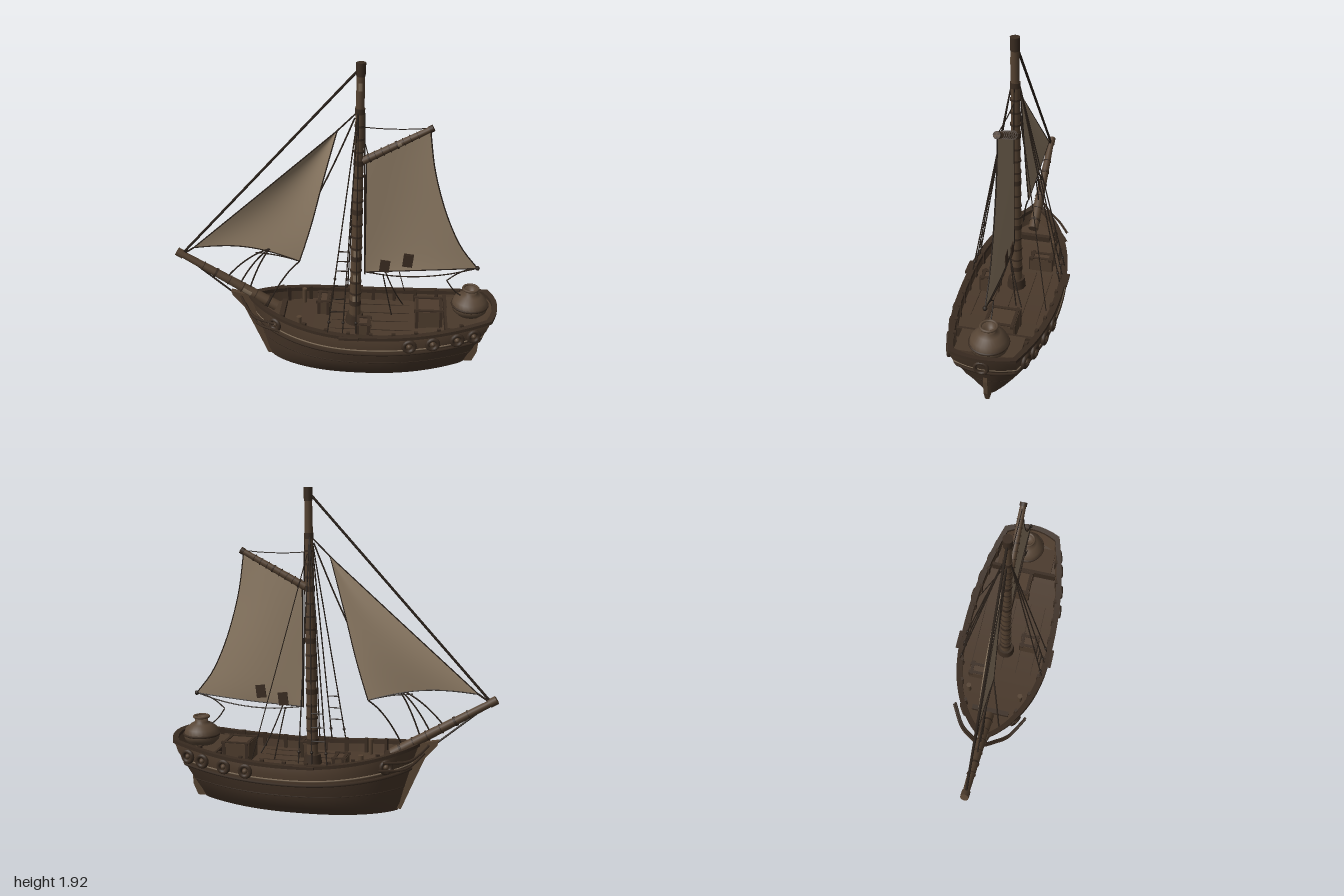
import * as THREE from 'three';
import { toCreasedNormals } from 'three/addons/utils/BufferGeometryUtils.js';

const mat = (name, color, side = THREE.FrontSide) => {
  const m = new THREE.MeshStandardMaterial({ color, side });
  m.name = name;
  return m;
};
const V = (p) => new THREE.Vector3(...p);
const lerp = (a, b, t) => a.map((v, i) => v + (b[i] - v) * t);

// Relative half-breadth of the hull from bow (0) to stern (1)
const breadth = (u, taper = 0.38) => (u < 0.5
  ? Math.max(0.03, (1 - (1 - 2 * u) ** 2.4) ** 0.75)
  : 1 - taper * (2 * u - 1) ** 2.2);

// Rise of the deck line toward bow and stern
const sheer = (x) => (x < 0.2 ? 0.1 * ((0.2 - x) / 0.75) ** 2 : 0.085 * ((x - 0.2) / 0.78) ** 2);

// One closed horizontal hull section, with a gently curved transom
function ring([bow, stern, width, y, rise, taper = 0.38]) {
  const at = (x, z) => V([x, y + rise * sheer(x), z]);
  const port = [], starboard = [], transom = [];
  for (let i = 0; i <= 40; i++) {
    const u = (i / 40) ** 1.4, x = bow + (stern - bow) * u, z = width * breadth(u, taper);
    port.push(at(x, z));
    starboard.unshift(at(x, -z));
  }
  for (let i = 1; i < 8; i++) {
    const t = 1 - i / 4;
    transom.push(at(stern + 0.045 * (1 - t * t), width * (1 - taper) * t));
  }
  return [...port, ...transom, ...starboard];
}

// Skin between successive sections
function loft(sections) {
  const rings = sections.map(ring), n = rings[0].length, index = [];
  for (let r = 0; r < rings.length - 1; r++) {
    for (let i = 0; i < n; i++) {
      const a = r * n + i, b = r * n + (i + 1) % n;
      index.push(a, b, b + n, a, b + n, a + n);
    }
  }
  const g = new THREE.BufferGeometry().setFromPoints(rings.flat());
  g.setIndex(index);
  return toCreasedNormals(g, 0.7);
}

// Breadth and heading of the ship's side at x
const sideZ = (x) => 0.303 * breadth((x + 0.53) / 1.45);
const heading = (x) => -Math.atan((sideZ(x + 0.03) - sideZ(x - 0.03)) / 0.06);

export function createModel() {
  const ship = new THREE.Group();
  ship.name = 'sailingShip';
  const hullWood = mat('hullWood', 0x48372a);
  const plankWood = mat('plankWood', 0x4e3c2d);
  const deckWood = mat('deckWood', 0x4a392b);
  const trimWood = mat('trimWood', 0x3a2c21);
  const sparWood = mat('sparWood', 0x554231);
  const ropeFibre = mat('ropeFibre', 0x2b221b);
  const canvas = mat('canvas', 0x917e67, THREE.DoubleSide);
  const clay = mat('clay', 0x574535);
  const paleWood = mat('paleWood', 0x7d6b57);

  const add = (name, geo, material, pos = [0, 0, 0], rot = [0, 0, 0]) => {
    const m = new THREE.Mesh(geo, material);
    m.name = name;
    m.position.set(...pos);
    m.rotation.set(...rot);
    ship.add(m);
    return m;
  };
  const box = (name, size, pos, material, rot) => add(name, new THREE.BoxGeometry(...size), material, pos, rot);
  const tube = (name, points, r, material, closed = false) => add(name,
    new THREE.TubeGeometry(new THREE.CatmullRomCurve3(points, closed), points.length * 3, r, 5, closed), material);
  // Rope between two points, sagging at the middle
  const rope = (name, a, b, r = 0.004, sag = 0) => tube(name, [0, 0.25, 0.5, 0.75, 1].map((t) => {
    const p = V(lerp(a, b, t));
    p.y -= sag * 4 * t * (1 - t);
    return p;
  }), r, ropeFibre);
  const spar = (name, a, b, r0, r1, material = sparWood) => {
    const p = V(a), d = V(b).sub(p);
    const m = add(name, new THREE.CylinderGeometry(r1, r0, d.length(), 12), material, lerp(a, b, 0.5));
    m.quaternion.setFromUnitVectors(new THREE.Vector3(0, 1, 0), d.normalize());
  };
  // Evenly spaced bands along a spar
  const bands = (name, a, b, count, r0, r1) => {
    for (let i = 0; i < count; i++) {
      const t = 0.08 + 0.8 * i / count, r = r0 + (r1 - r0) * t;
      spar(name, lerp(a, b, t), lerp(a, b, t + (i % 4 ? 0.008 : 0.02)), r, r, trimWood);
    }
  };

  // Hull, bulwark, rail and deck
  const waleLine = [-0.5, 0.87, 0.295, 0.21, 0.7, 0.42], railLine = [-0.545, 0.93, 0.296, 0.31, 1];
  add('hull', loft([[-0.42, 0.76, 0, 0, 0, 0.75], [-0.42, 0.76, 0.19, 0, 0, 0.75], [-0.44, 0.78, 0.238, 0.05, 0, 0.65],
    [-0.46, 0.815, 0.272, 0.12, 0.2, 0.53], waleLine]), hullWood);
  add('bulwark', loft([waleLine, [-0.525, 0.91, 0.303, 0.27, 0.9], railLine]), plankWood);
  add('rail', loft([railLine, [-0.555, 0.94, 0.308, 0.31, 1], [-0.555, 0.94, 0.308, 0.33, 1],
    [-0.52, 0.91, 0.27, 0.33, 1], [-0.52, 0.91, 0.27, 0.305, 1]]), trimWood);
  add('bulwarkLining', loft([[-0.52, 0.91, 0.275, 0.31, 1], [-0.5, 0.87, 0.272, 0.25, 0.8]]), plankWood);
  add('deck', loft([[-0.5, 0.875, 0.274, 0.255, 0.8], [-0.5, 0.875, 0, 0.255, 0.8]]), deckWood);
  tube('wale', ring(waleLine), 0.011, trimWood, true);
  tube('paleStrake', ring([-0.51, 0.886, 0.299, 0.236, 0.8, 0.4]), 0.005, paleWood, true);
  tube('lowerStrake', ring([-0.465, 0.822, 0.274, 0.135, 0.3, 0.51]), 0.004, trimWood, true);

  // Stem and rudder
  const plate = (name, pts, depth) => add(name, new THREE.ExtrudeGeometry(
    new THREE.Shape(pts.map((p) => new THREE.Vector2(...p))), { depth, bevelEnabled: false }), sparWood, [0, 0, -depth / 2]);
  plate('stem', [[-0.44, 0.01], [-0.38, 0.01], [-0.5, 0.42], [-0.66, 0.45], [-0.65, 0.42], [-0.58, 0.34], [-0.52, 0.2]], 0.035);
  plate('rudder', [[0.76, 0], [0.855, 0], [0.885, 0.07], [0.89, 0.16], [0.88, 0.23], [0.8, 0.2]], 0.024);
  add('sternRing', new THREE.TorusGeometry(0.036, 0.01, 8, 18), trimWood, [0.962, 0.335, 0], [0, Math.PI / 2, 0]);

  for (const s of [-1, 1]) {
    // Round fenders
    for (const x of [-0.37, 0.45, 0.59, 0.735, 0.835]) {
      const pos = [x, 0.268 + 0.85 * sheer(x), s * (sideZ(x) + 0.006)];
      add('fender', new THREE.TorusGeometry(0.033, 0.013, 8, 18), trimWood, pos, [0, s * heading(x), 0]);
      add('fenderBoss', new THREE.SphereGeometry(0.015, 10, 8), sparWood, pos);
    }
    // Bulwark posts
    for (let x = -0.32; x < 0.8; x += 0.135) {
      box('railPost', [0.022, 0.1, 0.018], [x, 0.292 + sheer(x), s * (sideZ(x) - 0.03)], trimWood, [0, s * heading(x), 0]);
    }
    // Curved bow rails
    for (const drop of [0, 0.05]) {
      tube('headRail', [[-0.6, 0.42, 0.02], [-0.555, 0.38, 0.08], [-0.5, 0.355, 0.15], [-0.36, 0.36, 0.235]]
        .map(([x, y, z]) => V([x + drop / 2, y - drop, s * z])), 0.008, trimWood);
    }
    // Shrouds, rungs and channel
    const top = [0.12, 1.65, s * 0.02], feet = [-0.04, 0.05, 0.13].map((x) => [x, 0.34, s * 0.275]);
    for (const f of feet) {
      rope('shroud', top, f, 0.004);
      add('deadeye', new THREE.SphereGeometry(0.01, 8, 6), ropeFibre, lerp(top, f, 0.95));
    }
    for (const t of [0.78, 0.84, 0.9]) rope('rung', lerp(top, feet[0], t), lerp(top, feet[1], t));
    box('channel', [0.12, 0.015, 0.025], [0.09, 0.325, s * 0.31], trimWood);
    add('bollard', new THREE.CylinderGeometry(0.016, 0.013, 0.1, 10), sparWood, [-0.22, 0.33, s * 0.17]);
  }
  rope('backstay', [0.13, 1.55, -0.02], [0.42, 0.34, -0.25], 0.003);

  // Mast with pale scarfed lengths
  const foot = [0.11, 0.25, 0], head = [0.132, 1.9, 0];
  spar('mast', foot, head, 0.036, 0.023);
  spar('mastCap', lerp(foot, head, 0.965), [0.132, 1.92, 0], 0.026, 0.028, trimWood);
  spar('mastCollar', foot, lerp(foot, head, 0.04), 0.06, 0.05, trimWood);
  bands('mastBand', foot, head, 17, 0.039, 0.027);
  // Thin pale inlays on the front of a spar
  const inlay = (a, b, t, length, r) => {
    const p = V(lerp(a, b, t)), d = V(b).sub(V(a)).normalize();
    add('paleInlay', new THREE.CylinderGeometry(r, r, length, 6, 1, true, -0.45, 0.9), paleWood, p.toArray())
      .quaternion.setFromUnitVectors(new THREE.Vector3(0, 1, 0), d);
  };
  for (const [t, r] of [[0.11, 0.0365], [0.2, 0.0355], [0.3, 0.0345], [0.93, 0.026]]) inlay(foot, head, t, 0.045, r);

  // Bowsprit and gaff
  const tip = [-0.975, 0.705, 0], heel = [-0.38, 0.35, 0], jaw = [0.15, 1.34, 0], peak = [0.545, 1.55, 0];
  spar('bowsprit', heel, tip, 0.034, 0.02);
  spar('bowspritCap', lerp(heel, tip, 0.95), [-0.986, 0.712, 0], 0.026, 0.026);
  bands('bowspritBand', heel, tip, 6, 0.037, 0.025);
  inlay(heel, tip, 0.3, 0.06, 0.032);
  spar('gaff', jaw, peak, 0.024, 0.017);
  spar('gaffCap', lerp(jaw, peak, 0.95), peak, 0.021, 0.021, trimWood);
  bands('gaffLashing', jaw, peak, 8, 0.028, 0.021);
  inlay(jaw, peak, 0.52, 0.03, 0.023);

  // Sails stretched between two edge curves, with a billow and an arched foot
  const sail = (name, luffPts, leechPts, belly, arch) => {
    const luff = new THREE.CatmullRomCurve3(luffPts.map(V)), leech = new THREE.CatmullRomCurve3(leechPts.map(V));
    const g = new THREE.PlaneGeometry(1, 1, 16, 20), p = g.attributes.position;
    const point = (u, v) => {
      const q = luff.getPoint(v).lerp(leech.getPoint(v), u), w = Math.sin(Math.PI * u);
      q.y += arch * w * (1 - v) ** 2;
      q.z += belly * w * Math.sin(Math.PI * (0.12 + 0.8 * v));
      return q;
    };
    for (let i = 0; i < p.count; i++) p.setXYZ(i, ...point(p.getX(i) + 0.5, p.getY(i) + 0.5));
    g.computeVertexNormals();
    add(name, g, canvas);
    const steps = [0, 0.2, 0.4, 0.6, 0.8, 1];
    for (const edge of [(t) => point(0, t), (t) => point(1, t), (t) => point(t, 0)]) {
      tube(name + 'EdgeRope', steps.map(edge), 0.004, ropeFibre);
    }
  };
  const tack = [-0.88, 0.74, 0], clew = [-0.23, 0.67, 0], jibHead = [0, 1.52, 0];
  const mainTack = [0.17, 0.61, 0], mainClew = [0.85, 0.66, 0];
  sail('mainSail', [mainTack, [0.17, 1.35, 0]],
    [mainClew, [0.725, 0.83, 0], [0.635, 1.05, 0], [0.57, 1.27, 0], [0.53, 1.53, 0]], -0.02, -0.005);
  sail('jib', [tack, [-0.45, 1.12, 0], jibHead], [clew, [-0.16, 0.9, 0], [-0.085, 1.2, 0], jibHead], -0.035, 0.045);
  for (const [x, y] of [[0.29, 0.655], [0.43, 0.695]]) {
    for (const z of [0.003, -0.016]) box('sailPatch', [0.06, 0.08, 0.006], [x, y, z], trimWood, [0, 0, -0.12]);
  }

  // Stays
  rope('forestay', [-0.95, 0.7, 0], [0.11, 1.87, 0], 0.008);
  rope('jibHalyard', jibHead, [0.11, 1.63, 0], 0.005);
  rope('jibTackRope', tack, [-0.94, 0.7, 0], 0.006);
  rope('bobstay', [-0.94, 0.68, 0], [-0.62, 0.41, 0], 0.006);
  rope('innerStay', [0.1, 1.6, 0], [-0.1, 1.14, 0], 0.005, 0.01);
  rope('throatHalyard', [0.155, 1.63, 0], [0.17, 0.6, 0.01]);
  rope('peakHalyard', [0.15, 1.545, 0], peak, 0.003, 0.01);

  // Sheets below the sails
  rope('jibSheet', clew, [-0.44, 0.36, 0.08], 0.005, -0.04);
  rope('jibSheet', clew, [-0.5, 0.72, 0], 0.004, -0.01);
  for (const x of [-0.55, -0.61, -0.69]) rope('jibFootRope', [-0.41, 0.75, 0], lerp(heel, tip, (-0.38 - x) / 0.595), 0.005, -0.03);
  rope('mainFootRope', mainTack, mainClew, 0.004, 0.045);
  rope('mainSheet', [0.29, 0.63, 0], [0.41, 0.33, -0.1], 0.004, 0.02);
  rope('mainSheet', [0.28, 0.6, 0], [0.34, 0.28, -0.05]);
  rope('sternLine', mainClew, [0.67, 0.57, 0], 0.004, -0.02);
  rope('sternLine', [0.67, 0.57, 0], [0.78, 0.46, 0], 0.004, 0.02);
  add('sheetKnot', new THREE.SphereGeometry(0.014, 8, 6), ropeFibre, mainClew);

  // Raised stern deck with a large jar
  box('sternDeck', [0.18, 0.06, 0.37], [0.77, 0.315, 0], deckWood);
  box('sternStep', [0.02, 0.08, 0.44], [0.675, 0.305, 0], trimWood);
  const jar = [[0, 0.33], [0.07, 0.335], [0.105, 0.37], [0.113, 0.4], [0.1, 0.44], [0.065, 0.468],
    [0.04, 0.48], [0.04, 0.515], [0.03, 0.48], [0, 0.475]].map((p) => new THREE.Vector2(...p));
  add('jar', new THREE.LatheGeometry(jar, 28), clay, [0.82, 0, -0.01]);
  for (const [name, r, y, m] of [['jarBand', 0.109, 0.405, trimWood], ['jarLip', 0.046, 0.513, clay]]) {
    add(name, new THREE.TorusGeometry(r, 0.008, 6, 28), m, [0.82, y, -0.01], [Math.PI / 2, 0, 0]);
  }

  // Deck cargo: crates framed with battens
  const crate = (x, z, w, h, d) => {
    box('crate', [w, h, d], [x, 0.25 + h / 2, z], plankWood);
    for (const s of [-1, 1]) {
      box('crateBatten', [0.018, h + 0.012, d + 0.012], [x + s * (w / 2 - 0.012), 0.25 + h / 2, z], trimWood);
      box('crateBatten', [w + 0.012, 0.016, 0.018], [x, 0.25 + h, z + s * (d / 2 - 0.012)], trimWood);
    }
  };
  crate(0.57, -0.02, 0.17, 0.13, 0.18);
  crate(-0.09, -0.12, 0.08, 0.1, 0.14);
  crate(0.17, 0.15, 0.09, 0.1, 0.11);
  for (let z = -0.2; z < 0.21; z += 0.1) box('deckSeam', [0.86, 0.004, 0.003], [0.22, 0.261, z], trimWood);
  box('bowBeam', [0.03, 0.04, 0.24], [-0.34, 0.31, 0], trimWood);
  return ship;
}
